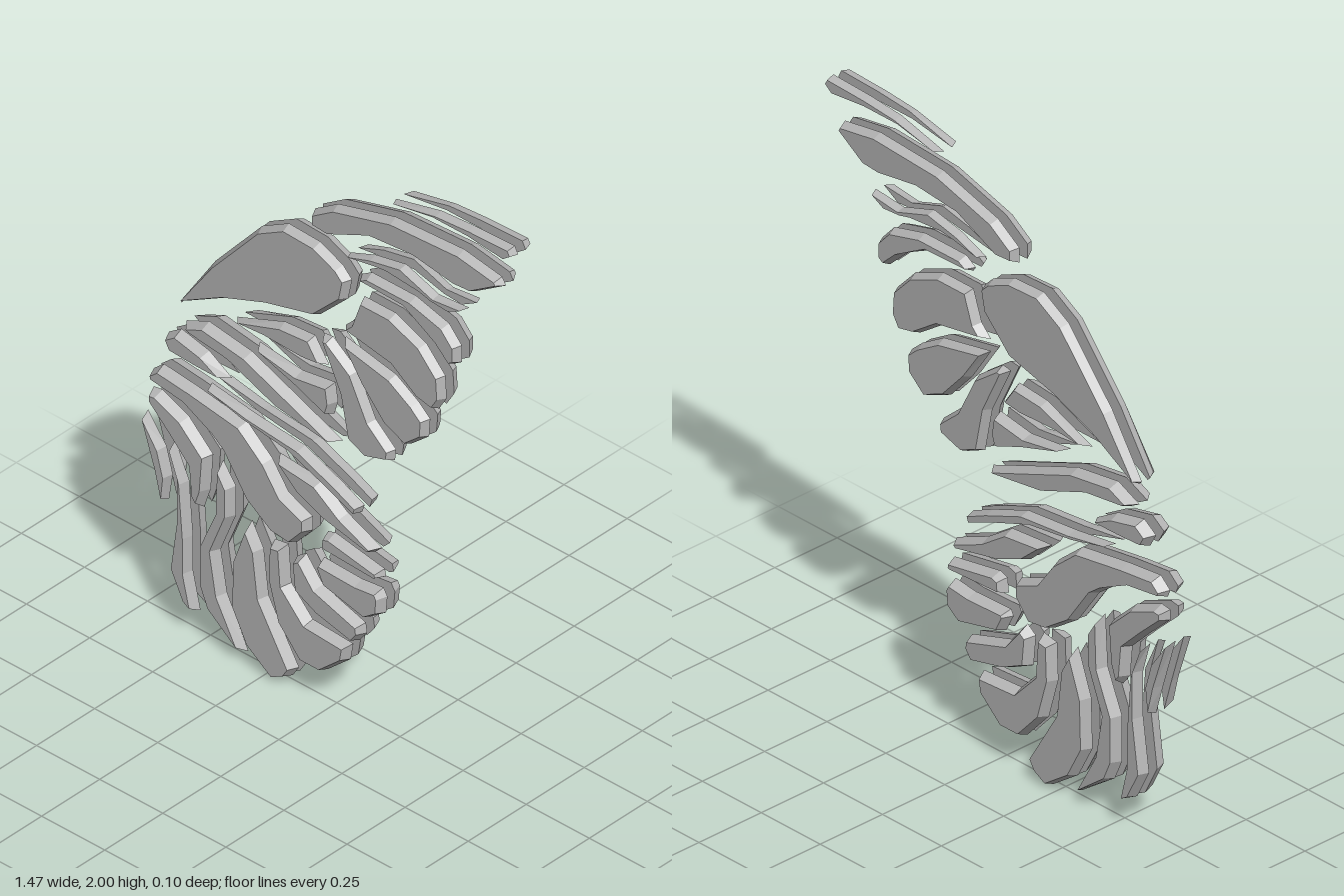
import * as THREE from 'three';

const INNER = 0.016; // half of the gap between front and back layers
const grey = new THREE.MeshStandardMaterial({ color: 0xb8b8b8 });
grey.name = 'stoneGrey';

// Move each corner of a counter-clockwise outline inwards, with limited mitres
function inset(pts, d) {
  const n = pts.length;
  return pts.map((p, i) => {
    const a = p.clone().sub(pts[(i + n - 1) % n]).normalize();
    const b = pts[(i + 1) % n].clone().sub(p).normalize();
    const m = new THREE.Vector2(-a.y - b.y, a.x + b.x).normalize();
    const cos = Math.max(0.45, m.x * -a.y + m.y * a.x);
    return p.clone().addScaledVector(m, d / cos);
  });
}

// Flat slab with a wide inner outline and a narrower outer face
function slabGeometry(pts, outer, side) {
  const n = pts.length;
  let length = 0;
  pts.forEach((p, i) => { length += p.distanceTo(pts[(i + 1) % n]); });
  const width = 2 * THREE.ShapeUtils.area(pts) / length;
  const top = inset(pts, Math.min(0.013, width * 0.28));
  const lo = pts.map((p) => [p.x, p.y, side * INNER]);
  const hi = top.map((p) => [p.x, p.y, side * outer]);
  const pos = [];
  const tri = (a, b, c) => (side > 0 ? pos.push(...a, ...b, ...c) : pos.push(...a, ...c, ...b));
  for (const [a, b, c] of THREE.ShapeUtils.triangulateShape(pts, [])) {
    tri(hi[a], hi[b], hi[c]);
    tri(lo[a], lo[c], lo[b]);
  }
  for (let i = 0; i < n; i++) {
    const j = (i + 1) % n;
    tri(lo[i], lo[j], hi[j]);
    tri(lo[i], hi[j], hi[i]);
  }
  const g = new THREE.BufferGeometry();
  g.setAttribute('position', new THREE.Float32BufferAttribute(pos, 3));
  g.computeVertexNormals();
  return g;
}

// One wing cell, made of a front slab and its mirrored back slab
function cell(name, outer, xy) {
  const pts = [];
  for (let i = 0; i < xy.length; i += 2) pts.push(new THREE.Vector2(xy[i], xy[i + 1]));
  if (THREE.ShapeUtils.isClockWise(pts)) pts.reverse();
  const group = new THREE.Group();
  group.name = name;
  for (const side of [1, -1]) {
    const mesh = new THREE.Mesh(slabGeometry(pts, outer, side), grey);
    mesh.name = name + (side > 0 ? 'Front' : 'Back');
    group.add(mesh);
  }
  return group;
}

// Outlines of the upper wing cells, from the tip down
const foreWing = {
  tipSliver: [.25, 1.94, .43, 1.985, .56, 1.995, .72, 2, .733, 1.975, .70, 1.95, .56, 1.965, .42, 1.965],
  tipCell: [-.07, 1.75, .02, 1.81, .25, 1.875, .52, 1.89, .67, 1.865, .685, 1.84, .57, 1.765, .5, 1.76, .34, 1.785, .17, 1.77, .005, 1.695, -.07, 1.70],
  edgeSliver: [.07, 1.66, .17, 1.70, .29, 1.725, .42, 1.68, .54, 1.69, .48, 1.655, .41, 1.66, .29, 1.69, .18, 1.675],
  edgeCellA: [.115, 1.605, .155, 1.63, .33, 1.63, .46, 1.595, .51, 1.54, .51, 1.48, .48, 1.46, .4, 1.535, .3, 1.585, .125, 1.59],
  edgeCellB: [.125, 1.53, .25, 1.53, .37, 1.48, .445, 1.40, .45, 1.32, .42, 1.27, .35, 1.285, .25, 1.355, .05, 1.39, .09, 1.43],
  edgeCellC: [.05, 1.35, .25, 1.31, .34, 1.255, .385, 1.215, .38, 1.15, .31, 1.09, .22, 1.13, .13, 1.23],
  edgeCellD: [-.035, 1.32, 0, 1.325, .1, 1.25, .17, 1.11, .25, 1.04, .245, 1, .15, .97, .075, 1.005, .045, 1.155],
  mainCell: [-.59, 1.18, -.465, 1.37, -.28, 1.585, -.175, 1.645, -.05, 1.64, .04, 1.6, .075, 1.565, .06, 1.49, -.05, 1.38, -.24, 1.33, -.41, 1.265, -.58, 1.17],
  innerCellA: [-.38, 1.21, -.19, 1.285, -.07, 1.295, -.015, 1.215, -.1, 1.205, -.25, 1.21],
};

// Outlines of the lower wing cells
const hindWing = {
  innerCellB: [-.29, 1.165, -.12, 1.145, .01, 1.165, .02, 1.1, .005, 1.05, -.12, 1.1],
  rootCellA: [-.58, 1.1, -.49, 1.14, -.32, 1.115, -.12, 1.035, .04, .97, .01, .955, -.2, .985, -.39, 1.06, -.545, 1.08],
  rootCellB: [-.65, 1.025, -.6, 1.06, -.49, 1.035, -.4, .98, -.52, .975, -.625, .98],
  upperSliver: [-.48, .925, -.31, .9, -.11, .88, .04, .82, .125, .78, .115, .75, -.005, .8, -.15, .855, -.33, .88],
  upperCell: [-.21, .805, -.04, .79, .06, .72, .195, .66, .17, .635, -.015, .675, -.12, .72],
  lowerMainCell: [-.71, .865, -.67, .9, -.535, .885, -.34, .855, -.24, .77, -.175, .68, -.08, .64, -.08, .59, -.14, .52, -.22, .53, -.32, .6, -.41, .73, -.52, .815, -.7, .84],
  tailCellA: [-.71, .8, -.675, .805, -.57, .76, -.475, .67, -.485, .54, -.51, .465, -.54, .505, -.55, .61, -.625, .685, -.71, .765],
  tailSliver: [-.733, .705, -.66, .61, -.635, .52, -.65, .425, -.68, .53],
  tailCellB: [-.625, .65, -.57, .53, -.555, .34, -.555, .215, -.525, .085, -.57, .11, -.62, .21, -.595, .39, -.595, .545],
  tailCellC: [-.435, .67, -.385, .6, -.385, .495, -.445, .345, -.42, .2, -.335, .03, -.475, .13, -.505, .2, -.505, .355, -.445, .495],
  tailCellD: [-.32, .51, -.275, .43, -.255, .27, -.135, .07, -.16, .03, -.215, 0, -.32, .075, -.38, .19, -.375, .36],
  lowerEdgeA: [-.23, .485, -.175, .495, -.165, .36, -.08, .27, .08, .26, .07, .2, -.02, .12, -.105, .12, -.195, .22, -.235, .36],
  lowerEdgeB: [-.14, .47, -.105, .495, -.04, .415, .13, .36, .135, .325, .105, .285, -.04, .32, -.13, .365],
  lowerEdgeC: [-.035, .515, .115, .51, .2, .52, .215, .495, .21, .435, .155, .395, -.015, .435, -.045, .495],
  lowerEdgeD: [-.02, .615, .01, .625, .205, .59, .21, .565, .195, .555, -.025, .565],
};

export function createModel() {
  const model = new THREE.Group();
  model.name = 'butterflyWing';
  for (const [name, cells, outer] of [['foreWing', foreWing, 0.045], ['hindWing', hindWing, 0.052]]) {
    const wing = new THREE.Group();
    wing.name = name;
    for (const [key, xy] of Object.entries(cells)) wing.add(cell(key, outer, xy));
    model.add(wing);
  }
  return model;
}
